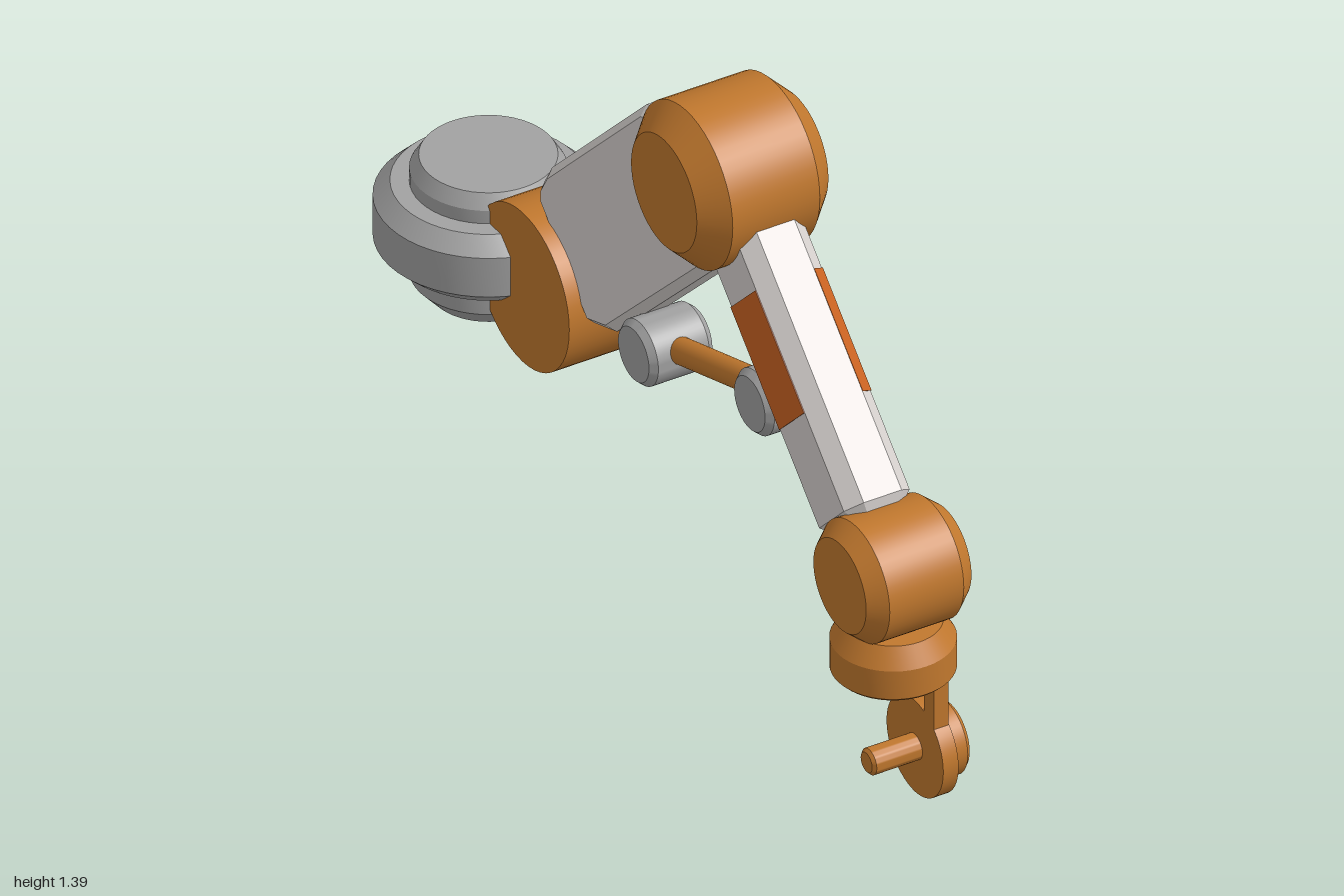
import * as THREE from 'three';
import { toCreasedNormals } from 'three/addons/utils/BufferGeometryUtils.js';

const paint = (name, color) => {
  const m = new THREE.MeshStandardMaterial({ color });
  m.name = name;
  return m;
};

export function createModel() {
  const model = new THREE.Group();
  model.name = 'jointedArm';
  const bronze = paint('bronze', 0xc1782e);
  const shell = paint('pale shell', 0xd8d3d0);
  const steel = paint('steel grey', 0xa2a2a2);
  const orange = paint('orange', 0xcc6422);

  const add = (name, geometry, material, x = 0, y = 0, z = 0, parent = model) => {
    const mesh = new THREE.Mesh(geometry, material);
    mesh.name = name;
    mesh.position.set(x, y, z);
    parent.add(mesh);
    return mesh;
  };
  const group = (name, x = 0, y = 0, z = 0) => {
    const g = new THREE.Group();
    g.name = name;
    g.position.set(x, y, z);
    model.add(g);
    return g;
  };
  const poly = (pts) => new THREE.Shape(pts.map(([x, y]) => new THREE.Vector2(x, y)));

  // Turned solid about y from [radius, height] pairs listed bottom to top
  const turned = (pts) => {
    const closed = [[0, pts[0][1]], ...pts, [0, pts[pts.length - 1][1]]];
    const g = new THREE.LatheGeometry(closed.map(([r, h]) => new THREE.Vector2(r, h)), 48);
    return toCreasedNormals(g, 0.5);
  };
  const turnedX = (pts) => turned(pts).rotateZ(-Math.PI / 2);
  // Cylinder along x with both rims chamfered
  const drum = (r, half, rEnd, flat) =>
    turnedX([[rEnd, -half], [r, -flat], [r, flat], [rEnd, half]]);

  // Base: stacked chamfered discs on a vertical axis
  add('base', turned([
    [0.125, 0.345], [0.165, 0.39], [0.165, 0.452], [0.205, 0.452], [0.241, 0.485],
    [0.241, 0.582], [0.205, 0.618], [0.165, 0.618], [0.165, 0.65], [0.145, 0.682],
  ]), steel, 0, 0, -0.762);

  // Shoulder and elbow drums
  add('shoulderJoint', turnedX([[0.187, -0.083], [0.187, 0.083]]), bronze, 0, 0.535, -0.487);
  add('elbowJoint', drum(0.187, 0.16, 0.132, 0.106), bronze, 0, 1.2, 0.207);

  // Upper arm: flat beam, side profile in (z, y) extruded across x
  const beam = new THREE.ExtrudeGeometry(poly([
    [0, 1.24], [-0.08, 1.21], [-0.46, 0.832], [-0.49, 0.78], [-0.49, 0.74],
    [-0.29, 0.54], [-0.2, 0.57], [0.187, 0.948], [0.2, 1.01],
  ]), { depth: 0.056, bevelThickness: 0.022, bevelSize: 0.02, bevelOffset: -0.02, bevelSegments: 1 });
  add('upperArm', beam.translate(0, 0, -0.028).rotateY(-Math.PI / 2), shell);

  // Forearm: chamfered bar running down and forward at 45 degrees
  const forearm = group('forearm', 0, 0.705, 0.705);
  forearm.rotation.x = Math.PI / 4;
  const bar = new THREE.ExtrudeGeometry(poly([
    [0.046, 0.104], [-0.046, 0.104], [-0.08, 0.07], [-0.08, -0.07],
    [-0.046, -0.104], [0.046, -0.104], [0.08, -0.07], [0.08, 0.07],
  ]), { depth: 0.72, bevelThickness: 0.035, bevelSize: 0.034, bevelOffset: -0.034, bevelSegments: 1 });
  add('forearmBar', bar, shell, 0, 0, -0.66, forearm);

  // Painted bands wrapping the forearm sides
  const band = (name, pts) => add(name,
    new THREE.ExtrudeGeometry(poly(pts), { depth: 0.276, bevelEnabled: false }),
    orange, 0, 0, -0.438, forearm);
  band('leftBand', [
    [0.046, 0.106], [0.082, 0.071], [0.082, -0.071], [0.046, -0.106],
    [0.046, -0.1], [0.077, -0.068], [0.077, 0.068], [0.046, 0.1],
  ]);
  band('rightBand', [
    [-0.082, 0.07], [-0.082, -0.071], [-0.046, -0.106],
    [-0.046, -0.1], [-0.077, -0.068], [-0.077, 0.07],
  ]);

  // Link rod with a pivot drum at each end
  const ends = [new THREE.Vector3(0, 0.76, 0.414), new THREE.Vector3(0, 0.615, -0.052)];
  ends.forEach((p, i) => add(['frontLinkPivot', 'rearLinkPivot'][i],
    drum(0.075, 0.077, 0.062, 0.062), steel, p.x, p.y, p.z));
  const span = ends[0].clone().sub(ends[1]);
  const rod = add('linkRod', new THREE.CylinderGeometry(0.03, 0.03, span.length(), 24), bronze);
  rod.position.copy(ends[0]).add(ends[1]).multiplyScalar(0.5);
  rod.quaternion.setFromUnitVectors(new THREE.Vector3(0, 1, 0), span.normalize());

  // Wrist drum and the flange hanging from it
  add('wristJoint', drum(0.138, 0.128, 0.106, 0.09), bronze, 0, 0.578, 0.86);
  add('wristFlange', turned([
    [0.126, 0.333], [0.133, 0.34], [0.133, 0.41], [0.105, 0.455],
  ]), bronze, 0, 0, 0.863);

  // Tool: two hanger bars, a disc, its cap and a side pin
  const tool = group('tool', 0, 0.115, 0.863);
  for (const s of [-1, 1]) {
    add(s > 0 ? 'frontHanger' : 'rearHanger',
      new THREE.BoxGeometry(0.036, 0.26, 0.04), bronze, 0.071, 0.13, s * 0.056, tool);
  }
  add('toolDisc', turnedX([[0.114, 0.053], [0.114, 0.09]]), bronze, 0, 0, 0, tool);
  add('toolCap', turnedX([[0.085, 0.09], [0.085, 0.13], [0.076, 0.14]]), bronze, 0, 0, 0, tool);
  add('toolPin', turnedX([[0.023, -0.065], [0.03, -0.058], [0.03, 0.056]]), bronze, 0, 0, 0, tool);

  return model;
}
